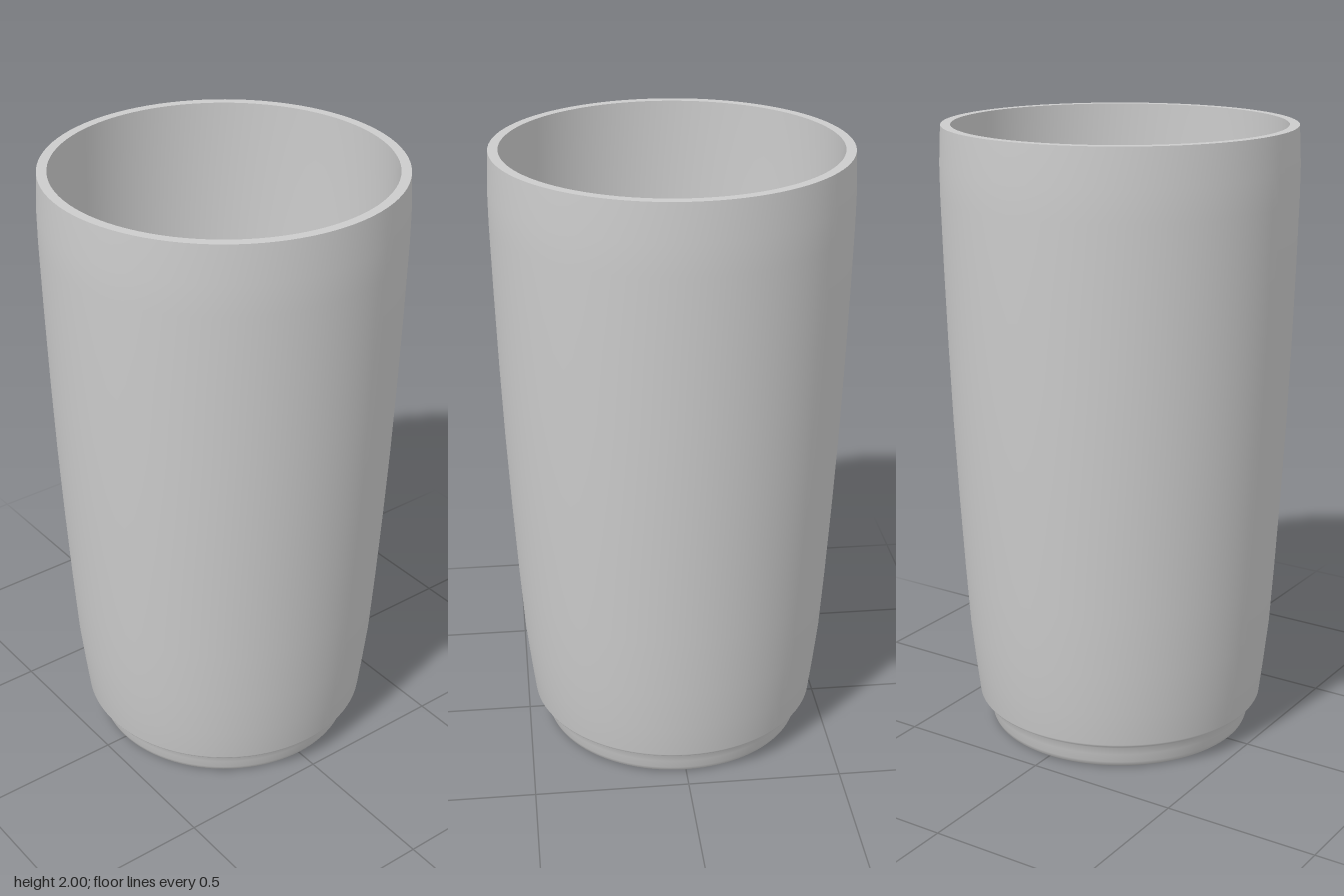
import * as THREE from 'three';

const material = new THREE.MeshStandardMaterial({ color: 0xcccccc });

// Profiles are [radius, height] and run with the surface on their outer side.
// Separate sections keep the edges between them sharp.
const sections = {
  undersideRecess: [[0, 0.075], [0.15, 0.075], [0.27, 0.075], [0.32, 0.071], [0.36, 0.06], [0.39, 0.04], [0.404, 0.018], [0.41, 0]],
  foot: [[0.41, 0], [0.42, 0], [0.429, 0.007], [0.434, 0.02], [0.441, 0.05], [0.446, 0.075], [0.455, 0.086], [0.47, 0.092]],
  outerWall: [[0.47, 0.092], [0.475, 0.1], [0.488, 0.21], [0.503, 0.35], [0.516, 0.55], [0.53, 0.8], [0.542, 1.05],
    [0.551, 1.3], [0.558, 1.55], [0.563, 1.78], [0.563, 1.88], [0.557, 2]],
  lip: [[0.557, 2], [0.526, 2]],
  innerWall: [[0.526, 2], [0.527, 1.8], [0.522, 1.55], [0.515, 1.3], [0.506, 1.05], [0.494, 0.8], [0.478, 0.55],
    [0.46, 0.38], [0.438, 0.28], [0.41, 0.2], [0.38, 0.15], [0.35, 0.125], [0.31, 0.113], [0.26, 0.11], [0.15, 0.11], [0, 0.11]],
};

export function createModel() {
  const cup = new THREE.Group();
  cup.name = 'cup';
  for (const [name, profile] of Object.entries(sections)) {
    const points = profile.map(([r, y]) => new THREE.Vector2(r, y));
    const mesh = new THREE.Mesh(new THREE.LatheGeometry(points, 96), material);
    mesh.name = name;
    cup.add(mesh);
  }
  return cup;
}
